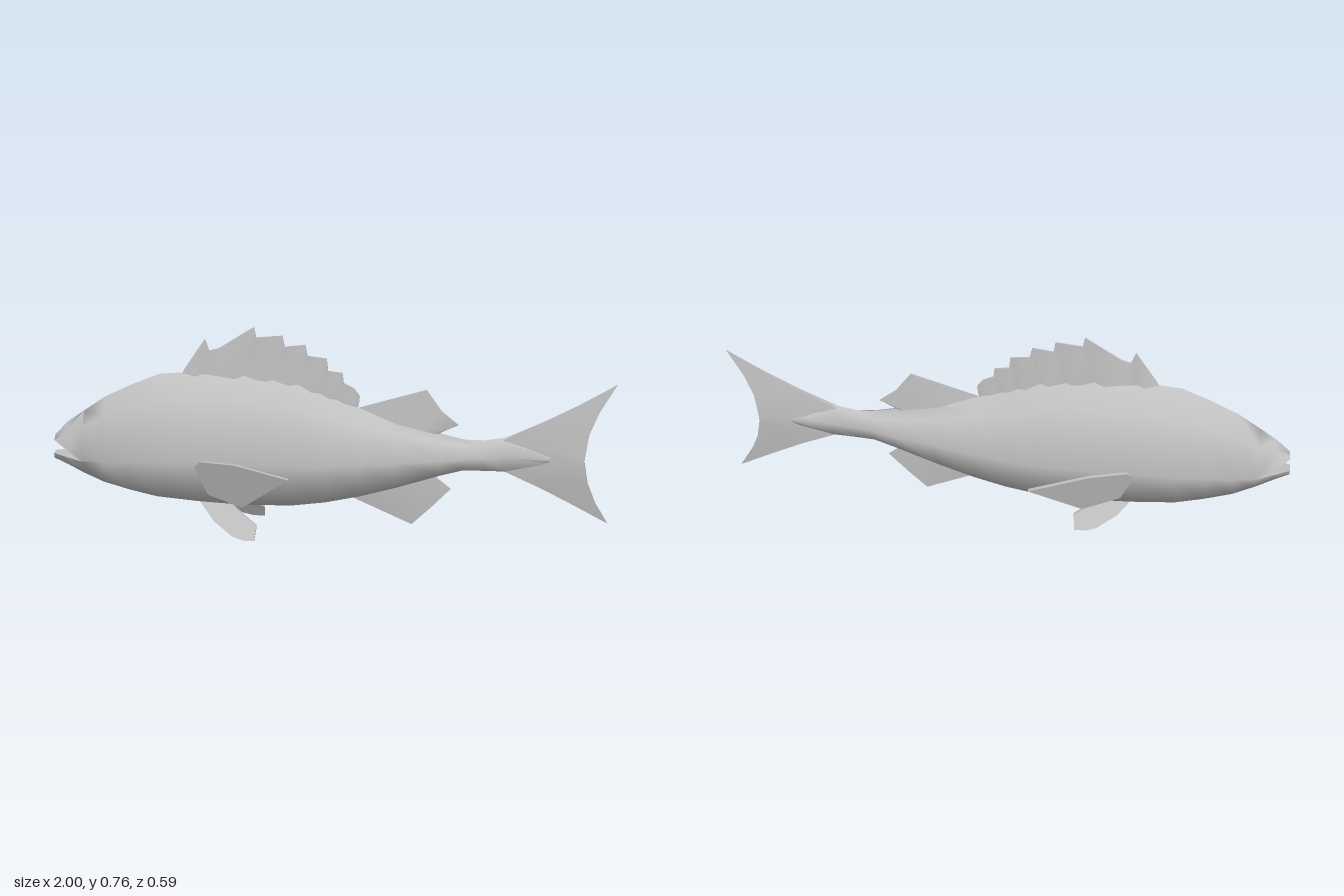
import * as THREE from 'three';
import { mergeGeometries, mergeVertices, toCreasedNormals } from 'three/addons/utils/BufferGeometryUtils.js';

// Closed skin through rings of [x, y, z] points, turned outwards by its signed volume
function loft(rings) {
  const n = rings[0].length, pos = rings.flat(2), faces = [];
  for (let r = 0; r < rings.length - 1; r++) {
    for (let i = 0; i < n; i++) {
      const a = r * n + i, b = r * n + (i + 1) % n;
      faces.push([a, b, b + n], [a, b + n, a + n]);
    }
  }
  const last = (rings.length - 1) * n;
  for (let i = 1; i < n - 1; i++) {
    faces.push([0, i + 1, i], [last, last + i, last + i + 1]);
  }
  const v = (i) => new THREE.Vector3().fromArray(pos, i * 3);
  let volume = 0;
  for (const [a, b, c] of faces) volume += v(a).dot(v(b).cross(v(c)));
  if (volume < 0) faces.forEach((f) => f.reverse());
  const geo = new THREE.BufferGeometry();
  geo.setAttribute('position', new THREE.Float32BufferAttribute(pos, 3));
  geo.setIndex(faces.flat());
  return geo;
}

// Right-hand points of a body section, from the back to the belly
function halfSection([x, top, mid, bottom, w]) {
  return [
    [x, top, 0],
    [x, mid + (top - mid) * 0.74, w * 0.56],
    [x, mid, w],
    [x, bottom + (mid - bottom) * 0.14, w * 0.7],
    [x, bottom, 0],
  ];
}
const flip = ([x, y, z]) => [x, y, -z];
const fullRing = (s) => {
  const h = halfSection(s);
  return [...h, ...h.slice(1, 4).reverse().map(flip)];
};
const upperRing = (s) => {
  const h = halfSection(s);
  return [h[2], h[1], h[0], flip(h[1]), flip(h[2])];
};
const lowerRing = (s) => {
  const h = halfSection(s);
  return [h[2], h[3], h[4], flip(h[3]), flip(h[2])];
};

// Thin fin from rows [base x, base y, base half thickness, tip x, tip y, tip half thickness]
const finRings = (rows) => rows.map(([ax, ay, at, bx, by, bt]) => [
  [ax, ay, at], [bx, by, bt], [bx, by, -bt], [ax, ay, -at],
]);

// Flat slab from an outline, bent away from the body by zAt(x, y)
function slabFin(outline, depth, zAt) {
  const shape = new THREE.Shape(outline.map(([x, y]) => new THREE.Vector2(x, y)));
  const geo = new THREE.ExtrudeGeometry(shape, { depth, bevelEnabled: false });
  const p = geo.attributes.position;
  for (let i = 0; i < p.count; i++) {
    p.setZ(i, p.getZ(i) - depth / 2 + zAt(p.getX(i), p.getY(i)));
  }
  geo.computeVertexNormals();
  return geo;
}

export function createModel() {
  const group = new THREE.Group();
  const grey = new THREE.MeshStandardMaterial({ color: 0xc0c0c0 });
  grey.name = 'grey';
  const add = (name, geo) => {
    const mesh = new THREE.Mesh(geo, grey);
    mesh.name = name;
    group.add(mesh);
    return mesh;
  };

  // Body sections: x, top, side line, bottom, half width
  const sections = [
    [-0.88, 0.425, 0.255, 0.198, 0.07],
    [-0.8, 0.482, 0.27, 0.168, 0.102],
    [-0.7, 0.532, 0.285, 0.144, 0.127],
    [-0.6, 0.575, 0.295, 0.125, 0.146],
    [-0.45, 0.59, 0.3, 0.113, 0.15],
    [-0.3, 0.592, 0.3, 0.107, 0.15],
    [-0.12, 0.57, 0.3, 0.111, 0.143],
    [0, 0.522, 0.3, 0.128, 0.13],
    [0.12, 0.475, 0.305, 0.155, 0.112],
    [0.25, 0.435, 0.31, 0.193, 0.088],
    [0.4, 0.396, 0.315, 0.245, 0.062],
    [0.48, 0.378, 0.32, 0.267, 0.045],
    [0.55, 0.378, 0.32, 0.265, 0.032],
    [0.63, 0.393, 0.325, 0.265, 0.026],
    [0.78, 0.345, 0.325, 0.305, 0.02],
  ];
  // Jaws part at the corner of the mouth
  const upperJaw = [[-0.99, 0.33, 0.313, 0.3, 0.02], [-0.94, 0.382, 0.287, 0.22, 0.045], sections[0]];
  const lowerJaw = [[-0.995, 0.3, 0.263, 0.24, 0.018], [-0.94, 0.3, 0.259, 0.222, 0.043], sections[0]];
  const skin = mergeVertices(mergeGeometries([
    loft(sections.map(fullRing)),
    loft(upperJaw.map(upperRing)),
    loft(lowerJaw.map(lowerRing)),
  ]));
  add('body', toCreasedNormals(skin, 1.15));

  // Spiny dorsal fin, thicker along each spine
  const spines = [
    [-0.52, 0.57, 0.004, -0.515, 0.59, 0.001],
    [-0.47, 0.57, 0.016, -0.435, 0.71, 0.002],
    [-0.45, 0.57, 0.01, -0.42, 0.667, 0.002],
    [-0.42, 0.57, 0.012, -0.385, 0.678, 0.002],
    [-0.33, 0.57, 0.021, -0.26, 0.76, 0.002],
    [-0.3, 0.57, 0.011, -0.253, 0.722, 0.002],
    [-0.23, 0.57, 0.021, -0.16, 0.732, 0.002],
    [-0.2, 0.56, 0.011, -0.153, 0.692, 0.002],
    [-0.14, 0.55, 0.02, -0.08, 0.702, 0.002],
    [-0.11, 0.54, 0.01, -0.072, 0.662, 0.002],
    [-0.06, 0.52, 0.017, -0.005, 0.655, 0.002],
    [-0.04, 0.51, 0.009, 0, 0.61, 0.002],
    [0, 0.5, 0.013, 0.05, 0.605, 0.002],
    [0.02, 0.49, 0.007, 0.055, 0.568, 0.002],
    [0.05, 0.48, 0.009, 0.092, 0.55, 0.002],
    [0.08, 0.47, 0.005, 0.112, 0.522, 0.001],
    [0.1, 0.465, 0.003, 0.108, 0.488, 0.001],
  ];
  add('spinyDorsalFin', toCreasedNormals(loft(finRings(spines)), 0.6));

  add('rearDorsalFin', toCreasedNormals(loft(finRings([
    [0.1, 0.46, 0.002, 0.11, 0.48, 0.001],
    [0.25, 0.42, 0.014, 0.345, 0.555, 0.002],
    [0.31, 0.4, 0.012, 0.4, 0.478, 0.002],
    [0.36, 0.39, 0.01, 0.46, 0.43, 0.002],
    [0.37, 0.385, 0.004, 0.43, 0.418, 0.001],
  ])), 0.6));

  add('analFin', toCreasedNormals(loft(finRings([
    [0.06, 0.16, 0.002, 0.07, 0.148, 0.001],
    [0.2, 0.2, 0.014, 0.3, 0.048, 0.002],
    [0.28, 0.22, 0.012, 0.37, 0.118, 0.002],
    [0.36, 0.25, 0.006, 0.437, 0.19, 0.001],
  ])), 0.6));

  // Forked tail: leading edge to hollow trailing edge, thickest in the middle
  add('tailFin', toCreasedNormals(loft(finRings([
    [0.985, 0.592, 0.001, 1, 0.602, 0.001],
    [0.87, 0.52, 0.002, 0.943, 0.5, 0.008],
    [0.75, 0.453, 0.003, 0.912, 0.42, 0.014],
    [0.62, 0.385, 0.01, 0.9, 0.33, 0.02],
    [0.62, 0.27, 0.01, 0.9, 0.31, 0.02],
    [0.75, 0.21, 0.003, 0.915, 0.23, 0.014],
    [0.87, 0.15, 0.002, 0.945, 0.16, 0.008],
    [0.975, 0.095, 0.001, 0.99, 0.088, 0.001],
  ])), 0.6));

  // Paired fins
  const pectoral = [[-0.455, 0.285], [-0.41, 0.18], [-0.28, 0.155], [-0.1, 0.31], [-0.3, 0.325], [-0.43, 0.31]];
  const pelvic = [[-0.455, 0.12], [-0.4, 0.06], [-0.33, 0.015], [-0.29, 0.004], [-0.25, 0.004],
    [-0.245, 0.05], [-0.32, 0.1], [-0.36, 0.13]];
  for (const [side, s] of [['front', 1], ['back', -1]]) {
    add(side + 'PectoralFin', slabFin(pectoral, 0.014,
      (x, y) => s * (0.152 + 0.4 * (x + 0.45) + 0.25 * (y - 0.325))));
    add(side + 'PelvicFin', slabFin(pelvic, 0.012,
      (x, y) => s * (0.052 + 0.58 * (0.12 - y))));
  }
  return group;
}
